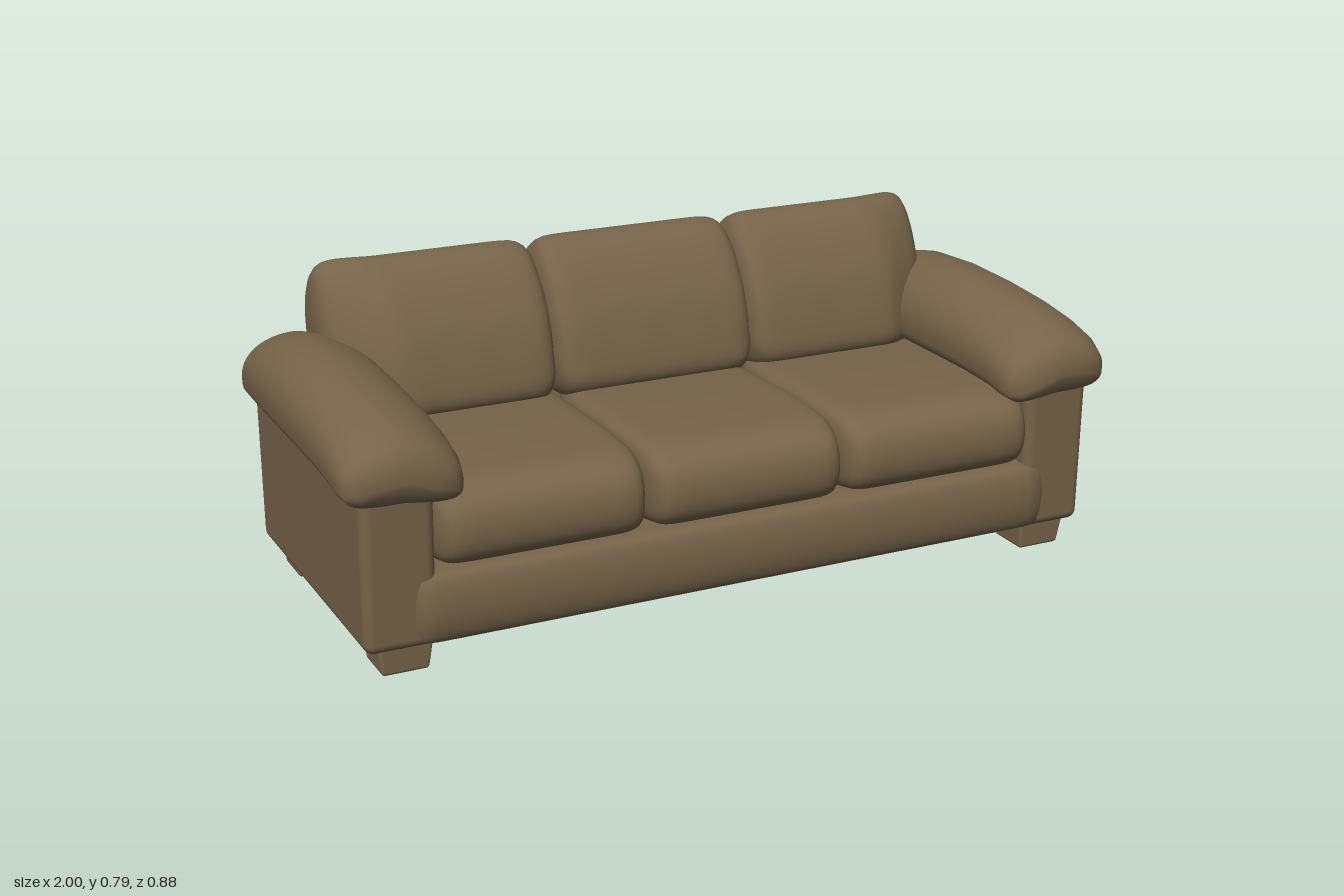
import * as THREE from 'three';
import { RoundedBoxGeometry } from 'three/addons/geometries/RoundedBoxGeometry.js';

// Skin a series of closed rings (arrays of [x, y, z]) and cap both ends
function loft(rings) {
  const n = rings[0].length, last = rings.length - 1;
  const pos = rings.flat(2), idx = [];
  for (let i = 0; i < last; i++) {
    for (let j = 0; j < n; j++) {
      const k = (j + 1) % n;
      const a = i * n + j, b = i * n + k, c = b + n, d = a + n;
      idx.push(a, b, c, a, c, d);
    }
  }
  for (const r of [0, last]) {
    const centre = pos.length / 3;
    for (let axis = 0; axis < 3; axis++) {
      pos.push(rings[r].reduce((sum, p) => sum + p[axis], 0) / n);
    }
    for (let j = 0; j < n; j++) {
      const a = r * n + j, b = r * n + (j + 1) % n;
      if (r === 0) idx.push(b, a, centre);
      else idx.push(a, b, centre);
    }
  }
  const g = new THREE.BufferGeometry();
  g.setAttribute('position', new THREE.Float32BufferAttribute(pos, 3));
  g.setIndex(idx);
  g.computeVertexNormals();
  return g;
}

// Upholstered block: a rounded [z, y] side profile swept along x, pinched in at both ends.
// The profile runs up the back, over the top and down the front.
function pillow(profile, x0, x1, power, warp = (p) => p) {
  const curve = new THREE.CatmullRomCurve3(
    profile.map(([z, y]) => new THREE.Vector3(0, y, z)), true, 'centripetal');
  const pts = curve.getPoints(profile.length * 5).slice(0, -1);
  const cz = pts.reduce((s, p) => s + p.z, 0) / pts.length;
  const cy = pts.reduce((s, p) => s + p.y, 0) / pts.length;
  const rings = [], steps = 30;
  for (let i = 0; i <= steps; i++) {
    const u = Math.sin((i / steps - 0.5) * Math.PI);
    const s = Math.max(0.3, Math.pow(Math.max(0, 1 - Math.pow(Math.abs(u), power)), 0.25));
    const x = (x0 + x1) / 2 + u * (x1 - x0) / 2;
    rings.push(pts.map((p) => warp([x, cy + (p.y - cy) * s, cz + (p.z - cz) * s])));
  }
  return loft(rings);
}

// Padded arm top: stations along z of [z, half width, bottom, top]
const armStations = [
  [-0.438, 0.06, 0.495, 0.54], [-0.43, 0.1, 0.47, 0.56], [-0.41, 0.125, 0.452, 0.578],
  [-0.37, 0.139, 0.442, 0.6], [-0.25, 0.144, 0.44, 0.628], [-0.1, 0.147, 0.44, 0.637],
  [0.05, 0.147, 0.44, 0.633], [0.2, 0.147, 0.44, 0.62], [0.3, 0.147, 0.437, 0.603],
  [0.37, 0.146, 0.427, 0.582], [0.405, 0.138, 0.424, 0.56], [0.425, 0.118, 0.437, 0.54],
  [0.437, 0.07, 0.465, 0.512],
];

function armPad(side) {
  const n = 48;
  return loft(armStations.map(([z, hw, yb, yt]) => {
    const yc = yb + 0.38 * (yt - yb), ring = [];
    for (let j = 0; j < n; j++) {
      const t = j / n * Math.PI * 2, c = Math.cos(t), s = Math.sin(t);
      const e = s > 0 ? 0.95 : 0.55;
      const px = Math.sign(c) * Math.pow(Math.abs(c), e);
      const py = Math.sign(s) * Math.pow(Math.abs(s), e);
      const droop = 0.02 * Math.max(0, -px * side);
      ring.push([side * 0.853 + hw * px, yc + py * (s > 0 ? yt - yc : yc - yb) - droop, z]);
    }
    return ring;
  }));
}

// Narrow a geometry toward its bottom edge
function taper(g, height, amount) {
  const p = g.attributes.position;
  for (let i = 0; i < p.count; i++) {
    const f = 1 - amount * (0.5 - p.getY(i) / height);
    p.setX(i, p.getX(i) * f);
    p.setZ(i, p.getZ(i) * f);
  }
  return g;
}

export function createModel() {
  const sofa = new THREE.Group();
  sofa.name = 'sofa';
  const leather = new THREE.MeshStandardMaterial({ color: 0x766349 });
  leather.name = 'brown leather';
  const add = (name, geometry, x = 0, y = 0, z = 0) => {
    const m = new THREE.Mesh(geometry, leather);
    m.name = name;
    m.position.set(x, y, z);
    sofa.add(m);
  };

  // Base rail and back frame
  add('base', pillow([[-0.39, 0.08], [-0.39, 0.22], [-0.37, 0.24], [0, 0.24], [0.375, 0.24],
    [0.403, 0.225], [0.418, 0.15], [0.405, 0.085], [0.385, 0.068], [0, 0.067],
    [-0.37, 0.066]], -0.86, 0.86, 60));
  add('backFrame', pillow([[-0.395, 0.08], [-0.41, 0.2], [-0.425, 0.35], [-0.432, 0.47],
    [-0.42, 0.575], [-0.4, 0.607], [-0.36, 0.61], [-0.28, 0.58], [-0.2, 0.4], [-0.2, 0.1],
    [-0.22, 0.067], [-0.375, 0.066]], -0.81, 0.81, 50));

  // Seat and back cushions, three across
  const seat = [[-0.2, 0.27], [-0.2, 0.41], [-0.15, 0.43], [0, 0.44], [0.25, 0.441],
    [0.36, 0.428], [0.415, 0.39], [0.432, 0.335], [0.422, 0.28], [0.385, 0.25], [0, 0.235]];
  const back = [[-0.36, 0.47], [-0.388, 0.61], [-0.391, 0.69], [-0.355, 0.755], [-0.27, 0.79],
    [-0.2, 0.75], [-0.12, 0.635], [-0.082, 0.52], [-0.077, 0.45], [-0.12, 0.41], [-0.3, 0.41]];
  // Outer back cushions thin out where they meet the arms
  const thinEnds = ([x, y, z]) =>
    [x, y, -0.39 + (z + 0.39) * (1 - 2 * Math.max(0, Math.abs(x) - 0.68))];
  const seatEdges = [-0.785, -0.257, 0.257, 0.785], backEdges = [-0.83, -0.27, 0.27, 0.83];
  ['right', 'middle', 'left'].forEach((name, i) => {
    add(name + 'SeatCushion', pillow(seat, seatEdges[i] - 0.003, seatEdges[i + 1] + 0.003, 14));
    add(name + 'BackCushion',
      pillow(back, backEdges[i] - 0.004, backEdges[i + 1] + 0.004, 14, thinEnds));
  });

  // Arms and feet
  for (const side of [-1, 1]) {
    const label = side > 0 ? 'left' : 'right';
    add(label + 'ArmPanel', taper(new RoundedBoxGeometry(0.175, 0.405, 0.81, 4, 0.025), 0.405, 0.015),
      side * 0.867, 0.268, -0.004);
    add(label + 'ArmPad', armPad(side));
    for (const [end, z] of [['Front', 0.312], ['Back', -0.312]]) {
      add(label + end + 'Foot', taper(new RoundedBoxGeometry(0.135, 0.09, 0.135, 2, 0.008), 0.09, 0.17),
        side * 0.853, 0.045, z);
    }
  }
  return sofa;
}
